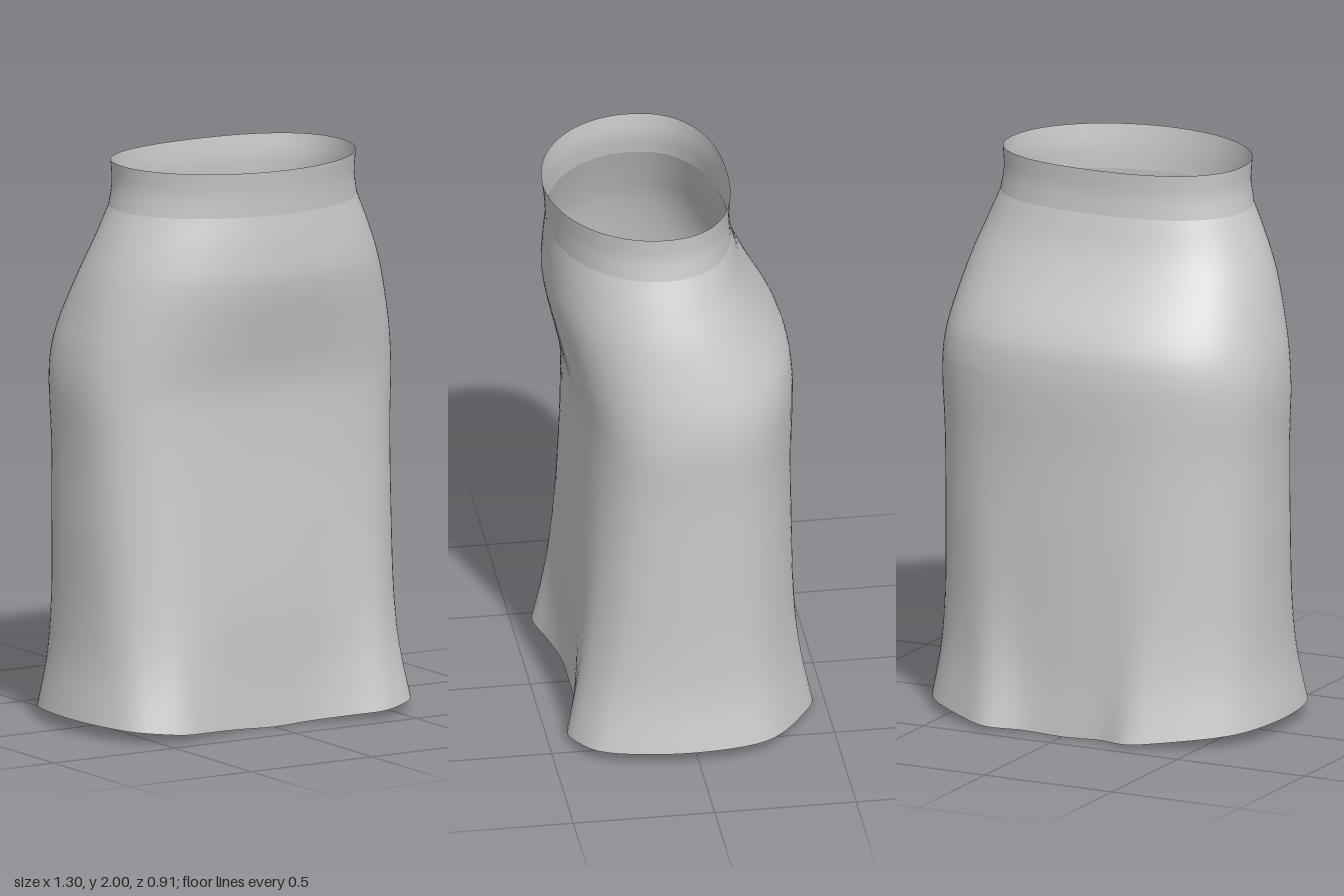
import * as THREE from 'three';

// Half outline of the wavy hem, front centre to back centre (fractions of width and depth)
const HEM = [
  [0, 0.84], [0.23, 0.85], [0.46, 0.93], [0.63, 1], [0.77, 0.93], [0.89, 0.79], [0.97, 0.47],
  [1, 0], [0.95, -0.44], [0.86, -0.64], [0.62, -0.88], [0.43, -1], [0.23, -0.91], [0, -0.9],
];

// Levels: y, half width, front z, back z, z of the widest point, front squareness, hem wave
const BAND = [
  [2, 0.455, 0.455, -0.195, 0.09, 2, 0],
  [1.92, 0.452, 0.445, -0.19, 0.09, 2, 0],
  [1.84, 0.465, 0.44, -0.195, 0.09, 2, 0],
];
const BODY = [
  BAND[2],
  [1.72, 0.515, 0.448, -0.23, 0.08, 2.1, 0],
  [1.6, 0.56, 0.448, -0.285, 0.06, 2.2, 0],
  [1.4, 0.61, 0.405, -0.39, 0.02, 2.5, 0],
  [1.3, 0.625, 0.382, -0.408, 0, 2.7, 0],
  [1.2, 0.63, 0.367, -0.41, 0, 2.8, 0],
  [1.0, 0.62, 0.367, -0.406, 0, 2.9, 0.05],
  [0.7, 0.615, 0.382, -0.41, 0, 2.9, 0.18],
  [0.4, 0.613, 0.4, -0.417, 0, 2.9, 0.4],
  [0.2, 0.622, 0.412, -0.43, 0, 2.9, 0.7],
  [0, 0.65, 0.432, -0.456, 0, 2.9, 1],
];

// Closed cross-section for one level, mirrored about x = 0
function section([y, w, front, back, mid, squareness, wave], perRing = 104) {
  const half = HEM.map(([hx, hz], i) => {
    const a = (i <= 7 ? i / 7 : (13 - i) / 6) * Math.PI / 2;
    const p = 2 / (i <= 7 ? squareness : 2.35);
    const rx = Math.pow(Math.max(0, Math.sin(a)), p);
    const rz = Math.pow(Math.max(0, Math.cos(a)), p) * (i <= 7 ? 1 : -1);
    const x = w * THREE.MathUtils.lerp(rx, hx, wave);
    const z = THREE.MathUtils.lerp(rz, hz, wave);
    // the lower edge rises towards the sides
    const lift = 0.045 * Math.pow(x / 0.65, 1.3) * Math.max(0, 1 - y / 0.4);
    return new THREE.Vector3(x, y + lift, mid + z * (z > 0 ? front - mid : mid - back));
  });
  const mirrored = half.slice(1, -1).reverse().map(p => new THREE.Vector3(-p.x, p.y, p.z));
  const loop = new THREE.CatmullRomCurve3([...half, ...mirrored], true);
  return Array.from({ length: perRing }, (_, i) => loop.getPoint(i / perRing));
}

// Open tube of cloth skinned smoothly through the levels from top to bottom
function cloth(name, levels, rows, material) {
  const rings = levels.map(level => section(level));
  const n = rings[0].length;
  const columns = rings[0].map((_, j) => new THREE.CatmullRomCurve3(rings.map(r => r[j])));
  const positions = [], index = [];
  for (let i = 0; i <= rows; i++) {
    for (let j = 0; j < n; j++) {
      positions.push(...columns[j].getPoint(i / rows).toArray());
      if (i === rows) continue;
      const a = i * n + j, d = i * n + (j + 1) % n;
      index.push(a, a + n, d, d, a + n, d + n);
    }
  }
  const geometry = new THREE.BufferGeometry();
  geometry.setAttribute('position', new THREE.Float32BufferAttribute(positions, 3));
  geometry.setIndex(index);
  geometry.computeVertexNormals();
  const mesh = new THREE.Mesh(geometry, material);
  mesh.name = name;
  return mesh;
}

export function createModel() {
  const group = new THREE.Group();
  group.name = 'skirt';
  const material = new THREE.MeshStandardMaterial({ color: 0xcccccc, side: THREE.DoubleSide });
  group.add(cloth('waistband', BAND, 6, material));
  group.add(cloth('skirtBody', BODY, 50, material));
  return group;
}
